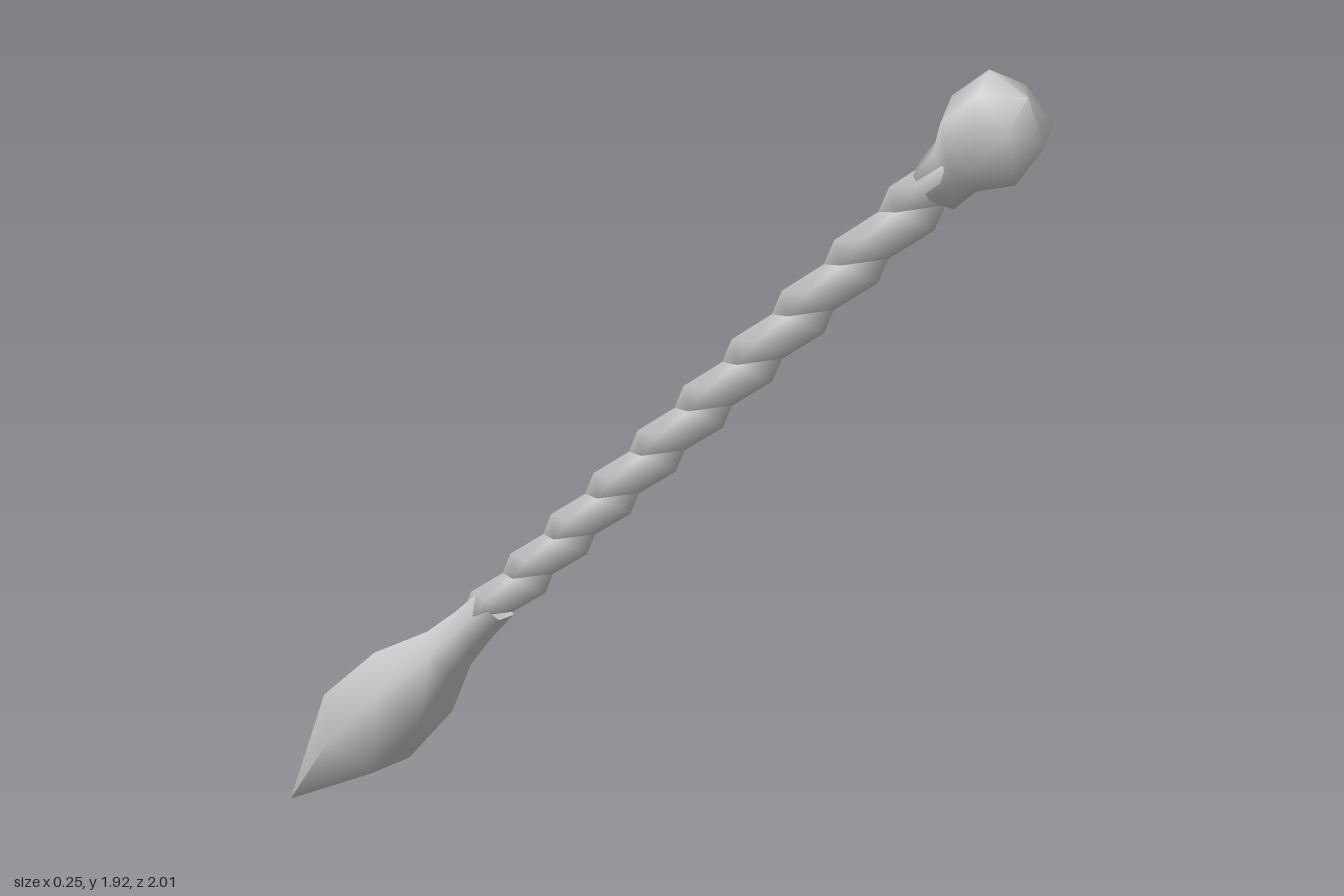
import * as THREE from 'three';

const material = new THREE.MeshStandardMaterial({ color: 0xcccccc, side: THREE.DoubleSide });

// Turned part from [radius, height] pairs
function lathe(name, profile, sides, phi = 0) {
  const points = profile.map(([r, y]) => new THREE.Vector2(r, y));
  const mesh = new THREE.Mesh(new THREE.LatheGeometry(points, sides, phi), material);
  mesh.name = name;
  return mesh;
}

export function createModel() {
  const model = new THREE.Group();
  model.name = 'twistedWand';

  // Everything is built along +y from the tip, then leaned over
  const body = new THREE.Group();
  body.name = 'body';
  body.position.set(0, 0, -1);
  body.rotation.x = 0.809;
  model.add(body);

  // Pointed head with a slim neck
  body.add(lathe('pointedHead', [
    [0, 0], [0.125, 0.38], [0.112, 0.597], [0.062, 0.755], [0.05, 0.86], [0.045, 0.96],
  ], 6, Math.PI / 2));

  // Shaft of slanted four-sided segments
  const pitch = 0.164;
  const slant = new THREE.Matrix4().set(
    1, 0, 0, 0,
    0, 1, 1.6, 0,
    0, 0, 1, 0,
    0, 0, 0, 1,
  );
  const shaft = new THREE.Group();
  shaft.name = 'shaft';
  for (let i = 0; i < 10; i++) {
    const segment = lathe('shaftSegment', [
      [0.048, -pitch / 2], [0.072, 0], [0.048, pitch / 2],
    ], 4);
    segment.geometry.scale(1, 1, 0.82).applyMatrix4(slant);
    segment.position.y = 1.005 + i * pitch;
    shaft.add(segment);
  }
  body.add(shaft);

  // Rounded knob at the upper end
  body.add(lathe('knob', [
    [0, 2.46], [0.055, 2.47], [0.06, 2.53], [0.1, 2.6], [0.086, 2.69], [0, 2.72],
  ], 6));

  return model;
}
